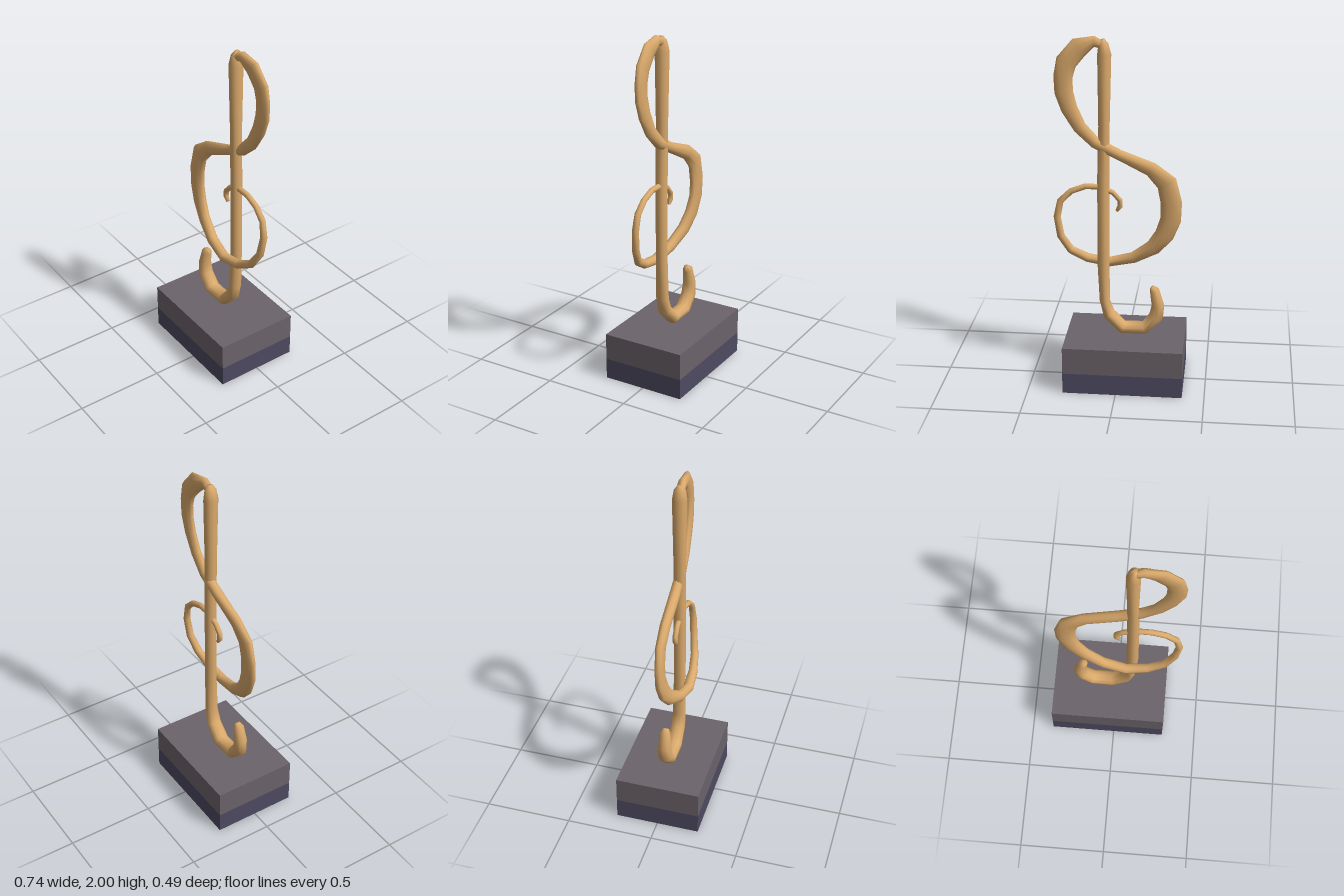
import * as THREE from 'three';

const SIDES = 10;

// Sweeps an oval section along stations of [x, y, z, half width, half depth].
function sweep(stations) {
  const pos = [], idx = [], n = stations.length;
  stations.forEach(([x, y, z, w, d], i) => {
    const p = stations[Math.max(i - 1, 0)], q = stations[Math.min(i + 1, n - 1)];
    const dir = (a, b) => new THREE.Vector2(b[0] - a[0], b[1] - a[1]).normalize();
    const t = dir(p, stations[i]).add(dir(stations[i], q)).normalize();
    for (let j = 0; j < SIDES; j++) {
      const a = (j / SIDES) * Math.PI * 2;
      const u = w * Math.cos(a);
      pos.push(x - t.y * u, y + t.x * u, z + d * Math.sin(a));
    }
  });
  const at = (i, j) => i * SIDES + (j % SIDES);
  for (let i = 0; i < n - 1; i++) {
    for (let j = 0; j < SIDES; j++) {
      idx.push(at(i, j), at(i, j + 1), at(i + 1, j));
      idx.push(at(i, j + 1), at(i + 1, j + 1), at(i + 1, j));
    }
  }
  // end caps
  for (let j = 1; j < SIDES - 1; j++) {
    idx.push(at(0, 0), at(0, j + 1), at(0, j));
    idx.push(at(n - 1, 0), at(n - 1, j), at(n - 1, j + 1));
  }
  const g = new THREE.BufferGeometry();
  g.setAttribute('position', new THREE.Float32BufferAttribute(pos, 3));
  g.setIndex(idx);
  g.computeVertexNormals();
  return g;
}

export function createModel() {
  const group = new THREE.Group();
  const material = (name, color) => new THREE.MeshStandardMaterial({ name, color });
  const wood = material('wood', 0xdbaa6c);
  const stone = material('greyStone', 0x6b636a);
  const plinth = material('darkPlinth', 0x4e4a62);
  const add = (name, geometry, mat) => {
    const mesh = new THREE.Mesh(geometry, mat);
    mesh.name = name;
    group.add(mesh);
    return mesh;
  };

  // two-layer base
  add('baseLower', new THREE.BoxGeometry(0.675, 0.12, 0.486), plinth).position.set(-0.0375, 0.06, 0);
  add('baseUpper', new THREE.BoxGeometry(0.675, 0.155, 0.486), stone).position.set(-0.0375, 0.1975, 0);

  // hooked foot rising into the straight stem
  add('stem', sweep([
    [-0.184, 0.565, 0, 0.014, 0.016],
    [-0.2, 0.545, 0, 0.028, 0.03],
    [-0.22, 0.455, 0, 0.036, 0.038],
    [-0.21, 0.385, 0, 0.042, 0.042],
    [-0.145, 0.314, 0, 0.037, 0.045],
    [-0.02, 0.312, 0, 0.037, 0.045],
    [0.058, 0.39, 0, 0.036, 0.042],
    [0.083, 0.475, 0, 0.03, 0.038],
    [0.09, 0.7, 0, 0.034, 0.034],
    [0.089, 1.2, 0, 0.034, 0.034],
    [0.084, 1.5, 0, 0.031, 0.034],
    [0.081, 1.9, 0, 0.038, 0.041],
    [0.085, 1.955, 0, 0.027, 0.032],
    [0.09, 1.98, 0, 0.012, 0.015],
  ]), wood);

  // ribbon: top loop, wide belly, then the spiral
  add('scroll', sweep([
    [0.075, 1.945, 0, 0.02, 0.024],
    [0.135, 1.968, 0, 0.03, 0.024],
    [0.217, 1.935, -0.005, 0.056, 0.023],
    [0.285, 1.855, -0.008, 0.057, 0.023],
    [0.303, 1.775, -0.008, 0.052, 0.022],
    [0.3, 1.69, -0.008, 0.051, 0.022],
    [0.272, 1.6, -0.008, 0.046, 0.023],
    [0.215, 1.495, -0.008, 0.038, 0.025],
    [0.13, 1.41, -0.008, 0.033, 0.028],
    [0, 1.345, -0.006, 0.03, 0.03],
    [-0.175, 1.268, -0.006, 0.042, 0.028],
    [-0.262, 1.19, -0.005, 0.058, 0.026],
    [-0.288, 1.075, -0.003, 0.059, 0.025],
    [-0.285, 0.975, 0, 0.058, 0.026],
    [-0.25, 0.88, 0.008, 0.054, 0.028],
    [-0.187, 0.798, 0.022, 0.045, 0.03],
    [-0.075, 0.724, 0.045, 0.033, 0.031],
    [0.06, 0.688, 0.06, 0.028, 0.03],
    [0.185, 0.71, 0.053, 0.026, 0.026],
    [0.278, 0.762, 0.036, 0.024, 0.023],
    [0.332, 0.852, 0.016, 0.022, 0.021],
    [0.35, 0.97, 0.006, 0.02, 0.02],
    [0.33, 1.065, 0.002, 0.019, 0.018],
    [0.27, 1.125, 0, 0.017, 0.017],
    [0.19, 1.156, 0, 0.017, 0.016],
    [0.11, 1.156, 0, 0.016, 0.016],
    [0.035, 1.124, 0, 0.015, 0.015],
    [-0.004, 1.08, 0, 0.015, 0.015],
    [-0.004, 1.045, 0, 0.015, 0.015],
    [0.014, 1.018, 0, 0.009, 0.01],
  ]), wood);

  return group;
}
